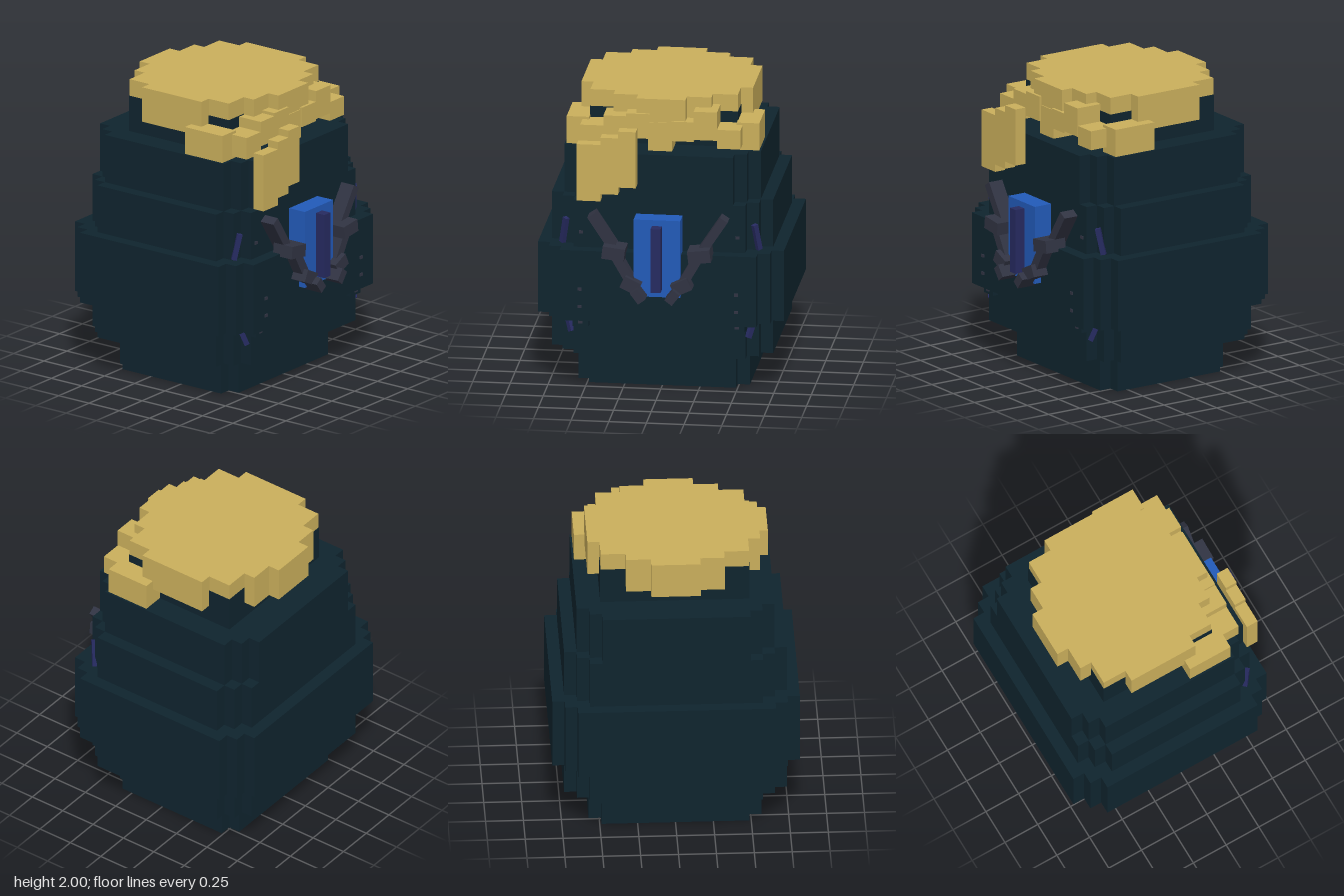
import * as THREE from 'three';

const mat = (name, color) => {
  const m = new THREE.MeshStandardMaterial({ color });
  m.name = name;
  return m;
};

export function createModel() {
  const shell = mat('darkTeal', 0x0f242e);
  const gold = mat('gold', 0xc9ae5b);
  const blue = mat('blue', 0x225ab8);
  const navy = mat('navy', 0x262a60);
  const grey = mat('slateGrey', 0x303342);
  const root = new THREE.Group();
  root.name = 'eggFigure';
  const MID = -0.08; // body axis in z

  const add = (name, geo, material, parent = root) => {
    const mesh = new THREE.Mesh(geo, material);
    mesh.name = name;
    parent.add(mesh);
    return mesh;
  };
  // Box from minimum and maximum corners
  const block = (name, x0, x1, y0, y1, z0, z1, material, parent = root) => {
    const mesh = add(name, new THREE.BoxGeometry(x1 - x0, y1 - y0, z1 - z0), material, parent);
    mesh.position.set((x0 + x1) / 2, (y0 + y1) / 2, (z0 + z1) / 2);
    return mesh;
  };
  // Prism over a stepped outline: quarter holds (half x, half z) corners from the x side to the z side
  const stepped = (name, quarter, y0, y1, material, parent = root) => {
    const q = [];
    quarter.forEach(([x, z], i) => {
      if (i > 0) q.push([x, quarter[i - 1][1]]);
      q.push([x, z]);
    });
    const back = [...q].reverse();
    const pts = [
      ...q,
      ...back.map(([x, z]) => [-x, z]),
      ...q.map(([x, z]) => [-x, -z]),
      ...back.map(([x, z]) => [x, -z]),
    ].map(([x, z]) => new THREE.Vector2(x, z));
    const geo = new THREE.ExtrudeGeometry(new THREE.Shape(pts), { depth: y1 - y0, bevelEnabled: false });
    geo.rotateX(-Math.PI / 2);
    geo.translate(0, y0, MID);
    return add(name, geo, material, parent);
  };

  // Egg-shaped body in stacked layers: half width, half depth, bottom, top, corner steps
  const S = 0.082;
  const layers = [
    [0.57, 0.49, 0, 0.25, 1],
    [0.735, 0.655, 0.25, 0.5, 2],
    [0.817, 0.737, 0.5, 0.985, 2],
    [0.735, 0.655, 0.985, 1.31, 2],
    [0.653, 0.655, 1.31, 1.64, 2],
  ];
  layers.forEach(([hx, hz, y0, y1, n], i) => {
    const quarter = [];
    for (let k = 0; k <= n; k++) quarter.push([hx - k * S, hz - (n - k) * S]);
    stepped('bodyLayer' + (i + 1), quarter, y0, y1, shell);
  });
  block('headCap', -0.493, 0.493, 1.64, 1.885, -0.493, 0.333, shell);

  // Hair crown
  const hair = new THREE.Group();
  hair.name = 'hair';
  root.add(hair);
  stepped('hairCrown', [[0.57, 0.245], [0.49, 0.41], [0.325, 0.492], [0.163, 0.573]], 1.76, 2, gold, hair);

  // Tufts at the temples
  for (const s of [-1, 1]) {
    const tuft = block('templeTuft', -0.075, 0.075, 1.64, 1.827, 0.08, 0.39, gold, hair);
    tuft.position.x = s * 0.565;
  }
  // Fringe: x0, x1, bottom, top, front
  [
    [-0.535, -0.38, 1.66, 1.81, 0.512],
    [-0.38, -0.23, 1.71, 1.88, 0.512],
    [-0.23, -0.075, 1.73, 1.9, 0.512],
    [-0.085, 0.075, 1.645, 1.84, 0.5],
    [0.07, 0.22, 1.72, 1.855, 0.512],
    [0.22, 0.375, 1.735, 1.93, 0.515],
    [0.375, 0.53, 1.68, 1.81, 0.512],
  ].forEach(([x0, x1, y0, y1, z]) => block('fringe', x0, x1, y0, y1, 0.325, z, gold, hair));
  // Long lock over one side of the face
  [
    [-0.54, -0.382, 1.33, 1.72],
    [-0.382, -0.265, 1.38, 1.77],
    [-0.265, -0.147, 1.43, 1.817],
  ].forEach(([x0, x1, y0, y1]) => block('frontLock', x0, x1, y0, y1, 0.573, 0.655, gold, hair));

  // Chest plate and its ridge
  block('chestPlate', -0.155, 0.155, 0.7, 1.23, 0.575, 0.705, blue);
  block('chestRidge', -0.033, 0.033, 0.75, 1.19, 0.7, 0.775, navy);

  // Jointed arms, rivets and corner marks on both sides
  for (const s of [-1, 1]) {
    const side = new THREE.Group();
    side.name = s > 0 ? 'leftDetails' : 'rightDetails';
    root.add(side);
    // Box centred at (x, y), tilted in the front plane
    const limb = (name, x, y, w, h, z0, z1, tilt) => {
      const m = block(name, -w / 2, w / 2, -h / 2, h / 2, z0, z1, grey, side);
      m.position.x = s * x;
      m.position.y = y;
      m.rotation.z = -s * tilt;
    };
    limb('upperArm', 0.37, 1.13, 0.06, 0.26, 0.575, 0.68, 0.58);
    limb('elbow', 0.285, 1.0, 0.15, 0.085, 0.6, 0.755, -0.12);
    limb('forearm', 0.222, 0.89, 0.065, 0.2, 0.62, 0.735, 0.52);
    limb('wrist', 0.168, 0.79, 0.12, 0.085, 0.64, 0.77, -0.45);
    limb('hand', 0.115, 0.73, 0.06, 0.09, 0.68, 0.812, 0.65);

    // Small bracket below the belly layer
    const bracket = block('bracket', -0.053, 0.053, 0.45, 0.5, 0.57, 0.615, shell, side);
    bracket.position.x = s * 0.518;
    [[0.48, 0.615], [0.6, 0.657], [0.72, 0.657], [1.09, 0.575]].forEach(([y, z]) => {
      const rivet = block('rivet', -0.014, 0.014, y - 0.01, y + 0.01, z - 0.01, z + 0.008, grey, side);
      rivet.position.x = s * 0.52;
    });

    // Slanted marks set in the corner steps
    [[0.64, 1.08, 0.51, 0.18, 0.22], [0.603, 0.45, 0.537, 0.12, -0.4]].forEach(([x, y, z, h, tilt]) => {
      const mark = add('cornerMark', new THREE.BoxGeometry(0.035, h, 0.03), navy, side);
      mark.position.set(s * x, y, z);
      mark.rotation.set(0, s * Math.PI / 4, s * tilt);
    });
  }
  return root;
}
